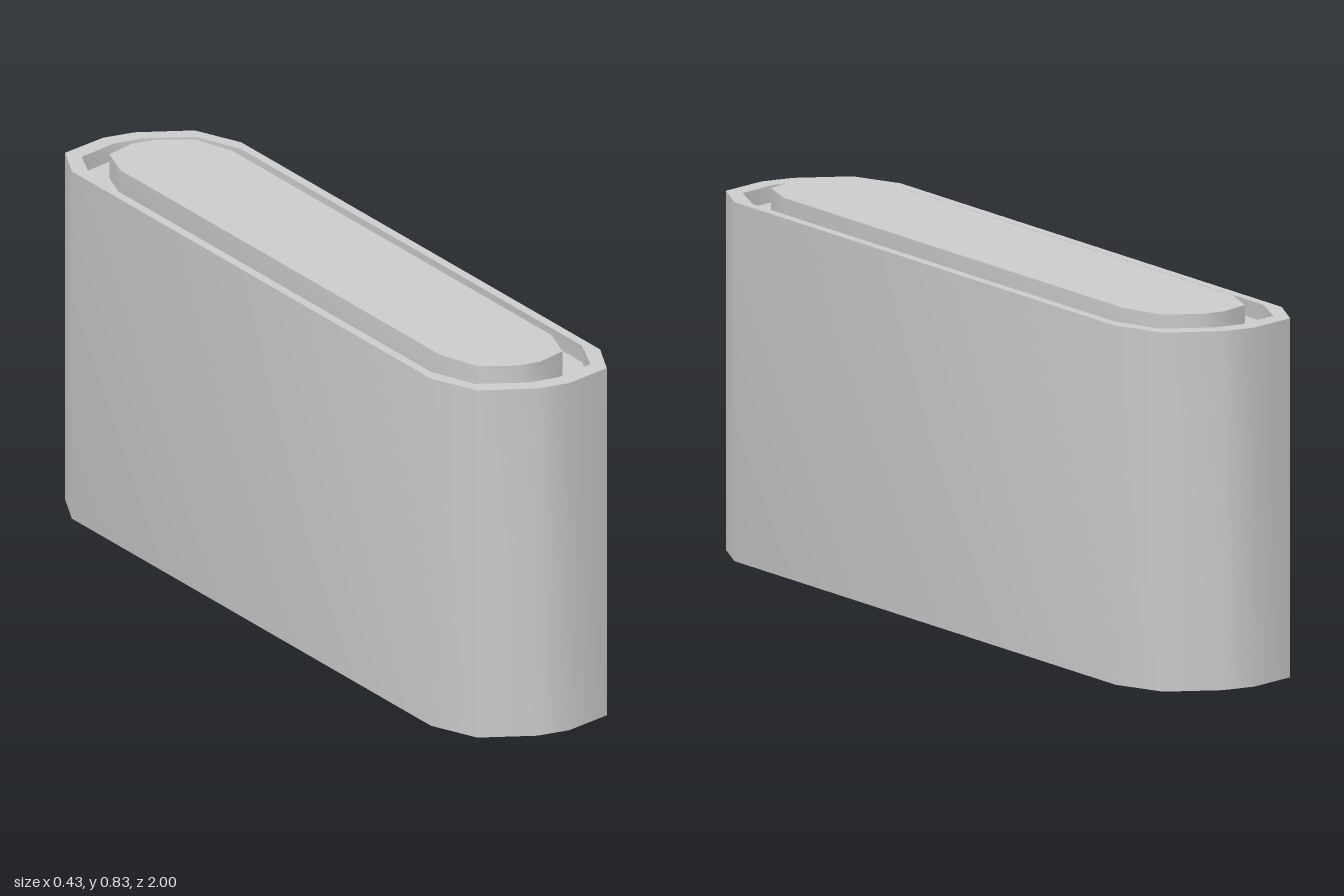
import * as THREE from 'three';
import { toCreasedNormals } from 'three/addons/utils/BufferGeometryUtils.js';

// Full outline from one quarter's [x, z] corners, running from +z round by +x
function outline(quarter) {
  const back = [...quarter].reverse();
  return [
    ...quarter,
    ...back.map(([x, z]) => [x, -z]),
    ...quarter.map(([x, z]) => [-x, -z]),
    ...back.map(([x, z]) => [-x, z]),
  ];
}

// Skin over a stack of [outline, height] sections; a null outline closes to the centre
function loft(sections) {
  const count = sections.find(([o]) => o)[0].length;
  const position = [];
  const corner = ([o, y], i) => (o ? [o[i % count][0], y, o[i % count][1]] : [0, y, 0]);
  for (let s = 0; s < sections.length - 1; s++) {
    const a = sections[s], b = sections[s + 1];
    for (let i = 0; i < count; i++) {
      if (a[0]) position.push(...corner(a, i), ...corner(a, i + 1), ...corner(b, i));
      if (b[0]) position.push(...corner(a, i + 1), ...corner(b, i + 1), ...corner(b, i));
    }
  }
  const geometry = new THREE.BufferGeometry();
  geometry.setAttribute('position', new THREE.Float32BufferAttribute(position, 3));
  return toCreasedNormals(geometry, THREE.MathUtils.degToRad(32));
}

export function createModel() {
  const group = new THREE.Group();
  const material = new THREE.MeshStandardMaterial({ color: 0xcccccc });
  const add = (name, sections) => {
    const mesh = new THREE.Mesh(loft(sections), material);
    mesh.name = name;
    group.add(mesh);
  };

  const outer = outline([[0.04, 1], [0.163, 0.948], [0.213, 0.826]]);
  const inner = outline([[0.038, 0.953], [0.145, 0.905], [0.19, 0.785]]);
  const plate = outline([[0.03, 0.885], [0.108, 0.845], [0.141, 0.735]]);
  const rimY = 0.808, floorY = 0.77, topY = 0.826;

  // Case: closed base, outer wall, narrow rim and sunken floor
  add('case', [[null, 0], [outer, 0], [outer, rimY], [inner, rimY], [inner, floorY], [null, floorY]]);

  // Raised plate standing on the sunken floor
  add('topPlate', [[plate, floorY], [plate, topY], [null, topY]]);

  return group;
}
